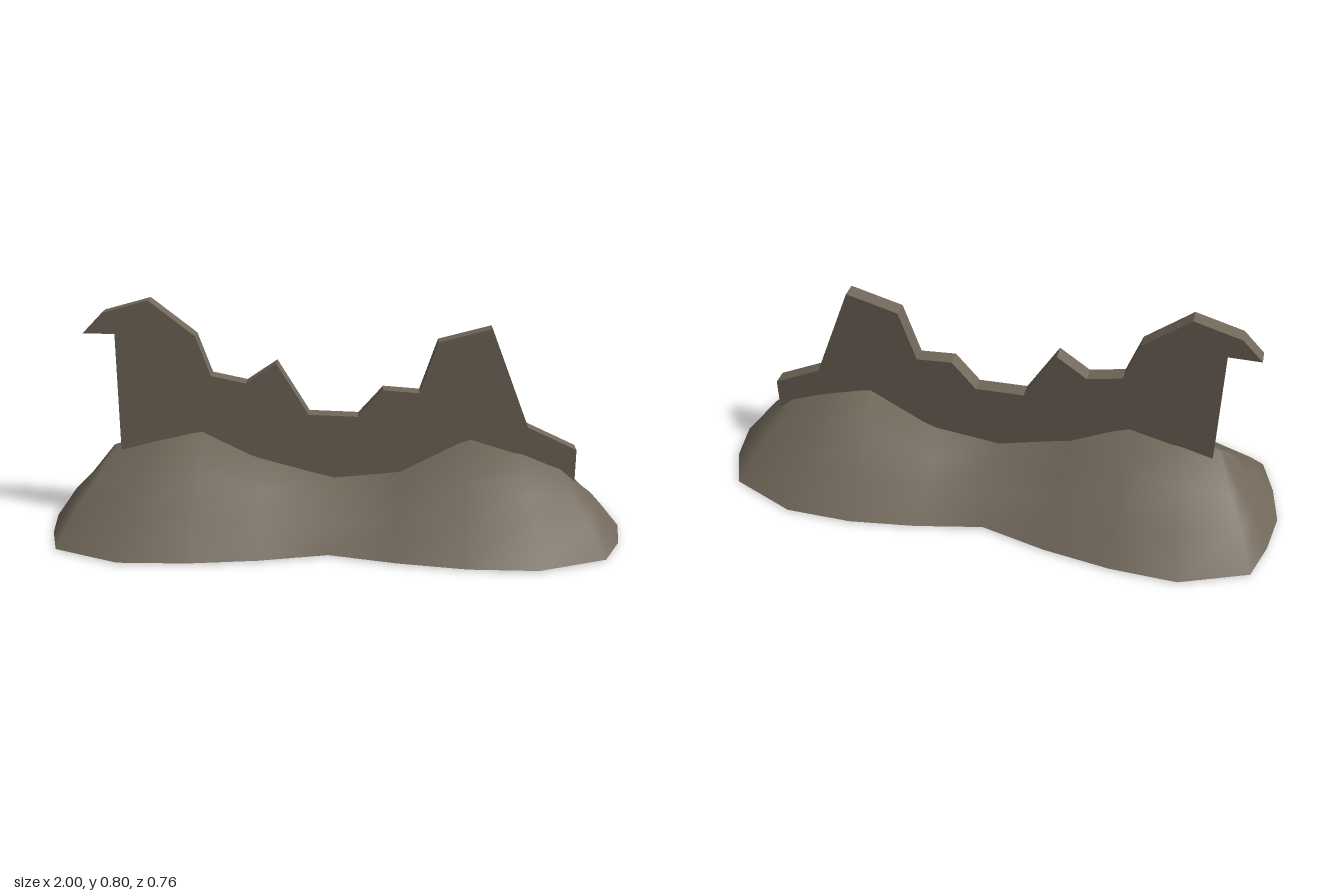
import * as THREE from 'three';
import { mergeVertices } from 'three/addons/utils/BufferGeometryUtils.js';

const stone = new THREE.MeshStandardMaterial({ color: 0x71675a, side: THREE.DoubleSide });
stone.name = 'weatheredStone';

// Broken wall: an outline extruded to a thin slab
function createWall() {
  const outline = [
    [-0.8, 0], [0.69, 0], [0.835, 0.15], [0.835, 0.29], [0.665, 0.37], [0.53, 0.716],
    [0.35, 0.667], [0.29, 0.488], [0.165, 0.497], [0.08, 0.4], [-0.09, 0.405],
    [-0.2, 0.587], [-0.305, 0.515], [-0.425, 0.54], [-0.475, 0.68], [-0.63, 0.802],
    [-0.79, 0.757], [-0.86, 0.685], [-0.75, 0.685], [-0.75, 0.2],
  ].map(([x, y]) => new THREE.Vector2(x, y));
  const geometry = new THREE.ExtrudeGeometry(new THREE.Shape(outline), { depth: 0.055, bevelEnabled: false });
  geometry.translate(0, 0, -0.035);
  const mesh = new THREE.Mesh(geometry, stone);
  mesh.name = 'ruinedWall';
  return mesh;
}

// Earth mound: cross-sections from the front rim over the ridge to the back rim, open below
function createMound() {
  // rim x, rim half-depth, ridge x, ridge height
  const stations = [
    [-1, 0, -0.78, 0.275], [-0.975, 0.15, -0.78, 0.275], [-0.93, 0.287, -0.77, 0.28],
    [-0.7, 0.382, -0.64, 0.315], [-0.47, 0.378, -0.46, 0.36], [-0.24, 0.347, -0.26, 0.26],
    [-0.01, 0.293, 0, 0.19], [0.22, 0.347, 0.23, 0.215], [0.45, 0.382, 0.47, 0.345],
    [0.68, 0.382, 0.65, 0.29], [0.91, 0.287, 0.77, 0.24], [0.975, 0.15, 0.8, 0.215],
    [1, 0, 0.8, 0.215],
  ];
  // distance from rim to ridge, share of the height
  const slope = [[0, 0], [0.33, 0.38], [0.62, 0.62], [1, 1]];
  const section = [
    ...slope.map(([t, h]) => [t, h, 1]),
    ...slope.slice(0, -1).reverse().map(([t, h]) => [t, h, -1]),
  ];
  const base = 0.004, ridgeZ = -0.005, n = section.length;
  const positions = [], index = [];
  stations.forEach(([rimX, rimZ, ridgeX, ridgeY], i) => {
    for (const [t, h, side] of section) {
      positions.push(
        THREE.MathUtils.lerp(rimX, ridgeX, t),
        base + h * (ridgeY - base),
        THREE.MathUtils.lerp(side * rimZ, ridgeZ, t),
      );
    }
    if (i === stations.length - 1) return;
    for (let j = 0; j < n - 1; j++) {
      const a = i * n + j, b = a + n;
      index.push(a, b, b + 1, a, b + 1, a + 1);
    }
  });
  let geometry = new THREE.BufferGeometry();
  geometry.setAttribute('position', new THREE.Float32BufferAttribute(positions, 3));
  geometry.setIndex(index);
  geometry = mergeVertices(geometry, 1e-4);
  geometry.computeVertexNormals();
  const mesh = new THREE.Mesh(geometry, stone);
  mesh.name = 'earthMound';
  return mesh;
}

export function createModel() {
  const group = new THREE.Group();
  group.name = 'wallRuin';
  group.add(createWall(), createMound());
  return group;
}
